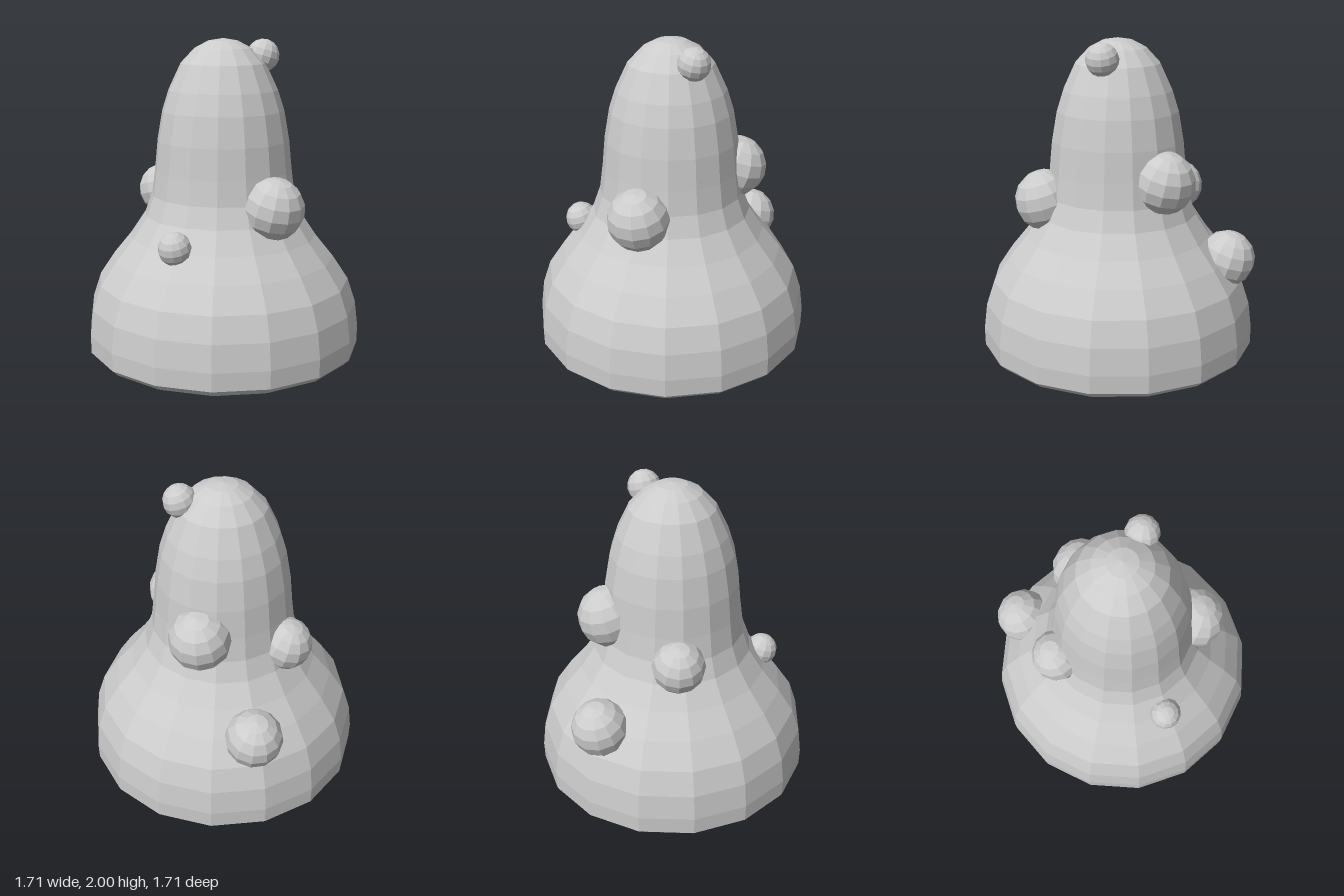
import * as THREE from 'three';

const material = new THREE.MeshStandardMaterial({ color: 0xcccccc, flatShading: true });

// Bell-shaped body outline as [radius, height], from base centre to crown
const profile = [
  [0, 0.005], [0.77, 0.03], [0.82, 0.055], [0.855, 0.09], [0.857, 0.2], [0.837, 0.36],
  [0.787, 0.51], [0.69, 0.655], [0.58, 0.79], [0.49, 0.925], [0.445, 1.05], [0.425, 1.2],
  [0.407, 1.385], [0.375, 1.565], [0.335, 1.69], [0.26, 1.85], [0.175, 1.94], [0.09, 1.985], [0, 2],
];

// Warts as [x, y, z, radius]
const warts = [
  [0.32, 1.02, 0.32, 0.19],
  [-0.24, 0.82, 0.52, 0.1],
  [0.24, 1.895, -0.05, 0.1],
  [0.1, 1.18, -0.39, 0.19],
  [-0.24, 0.66, -0.65, 0.175],
  [-0.4, 1.03, -0.2, 0.16],
];

export function createModel() {
  const model = new THREE.Group();
  model.name = 'wartyMound';

  const body = new THREE.Mesh(
    new THREE.LatheGeometry(profile.map(([r, y]) => new THREE.Vector2(r, y)), 16),
    material,
  );
  body.name = 'body';
  model.add(body);

  // Half-sunk faceted balls, each leaning slightly outward
  warts.forEach(([x, y, z, r], i) => {
    const wart = new THREE.Mesh(new THREE.SphereGeometry(r, 12, 8), material);
    wart.name = `wart${i + 1}`;
    wart.position.set(x, y, z);
    const axis = new THREE.Vector3(z, 0, -x).normalize();
    wart.quaternion.setFromAxisAngle(axis, 0.3);
    model.add(wart);
  });

  return model;
}
